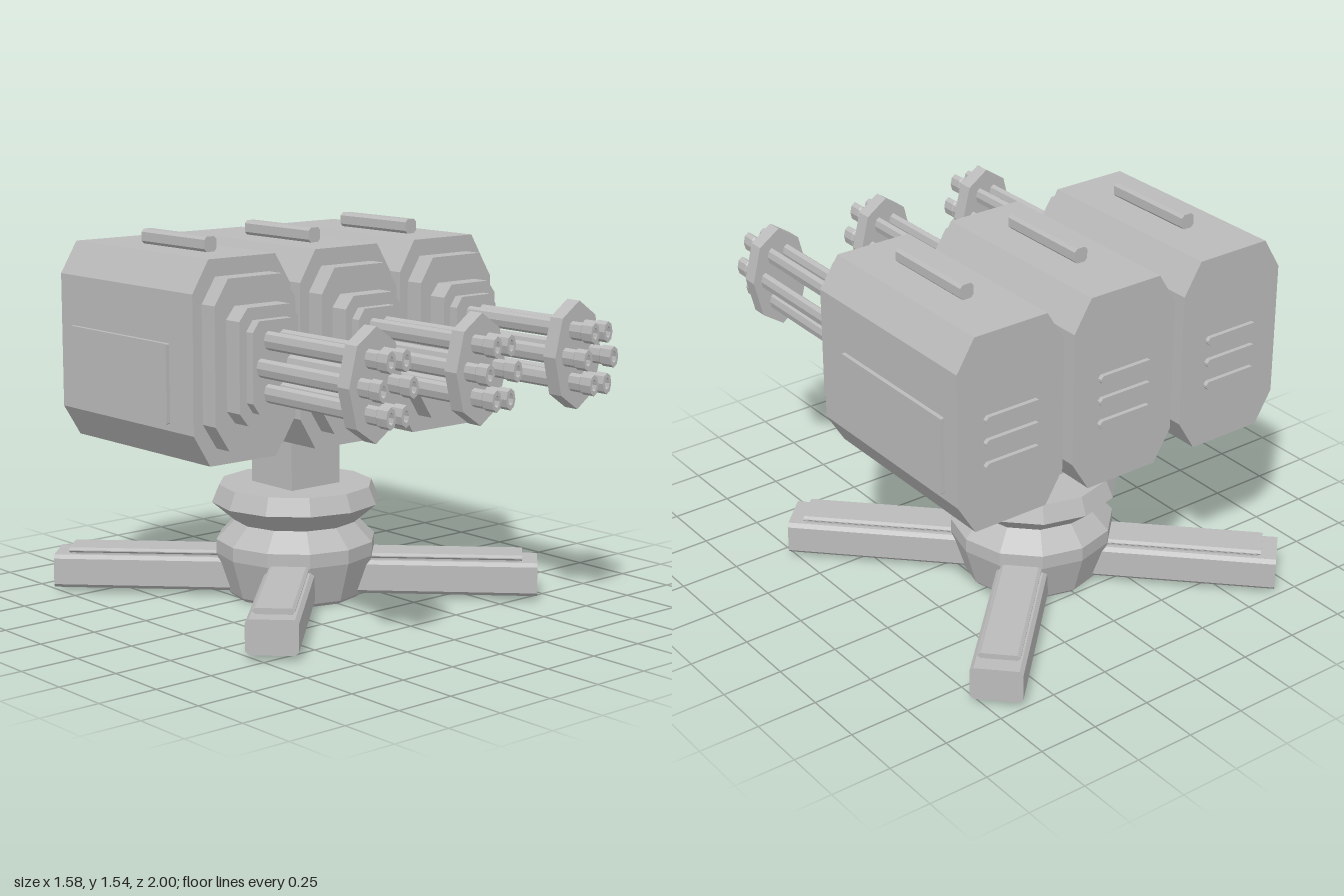
import * as THREE from 'three';

const grey = new THREE.MeshStandardMaterial({ color: 0xbbbbbb, flatShading: true });
grey.name = 'gunmetal grey';

const BASE_Z = -0.21;   // centre of the swivel base
const GUN_Y = 1.08;     // centre line of the guns

function add(parent, name, geometry, x = 0, y = 0, z = 0) {
  const mesh = new THREE.Mesh(geometry, grey);
  mesh.name = name;
  mesh.position.set(x, y, z);
  parent.add(mesh);
  return mesh;
}

// Chamfered rectangle (half sizes hx, hy; corner cuts cx, cy) extruded from z0 to z1
function prism(hx, hy, cx, cy, z0, z1) {
  const points = [
    [hx, -hy + cy], [hx, hy - cy], [hx - cx, hy], [-hx + cx, hy],
    [-hx, hy - cy], [-hx, -hy + cy], [-hx + cx, -hy], [hx - cx, -hy],
  ].map(([x, y]) => new THREE.Vector2(x, y));
  const geometry = new THREE.ExtrudeGeometry(new THREE.Shape(points), { depth: z1 - z0, bevelEnabled: false });
  return geometry.translate(0, 0, z0);
}

// Turned solid from [radius, height] pairs
function lathe(profile, sides) {
  return new THREE.LatheGeometry(profile.map(([r, y]) => new THREE.Vector2(r, y)), sides);
}

function createLeg() {
  const leg = new THREE.Group();
  leg.name = 'leg';
  add(leg, 'legBeam', prism(0.1025, 0.07, 0.015, 0.015, 0.25, 1.008), 0, 0.09);
  // Tread plate with bevelled rims
  add(leg, 'legSeam', prism(0.072, 0.01, 0.002, 0.002, 0.3, 0.935), 0, 0.16);
  add(leg, 'legPlate', prism(0.082, 0.011, 0.012, 0.009, 0.3, 0.945), 0, 0.176);
  return leg;
}

function createGun() {
  const gun = new THREE.Group();
  gun.name = 'gun';
  add(gun, 'housing', prism(0.241, 0.4, 0.078, 0.127, -0.768, 0.11));

  // Stepped front collars
  [
    [0.197, 0.332, 0.065, 0.1, 0.1, 0.19],
    [0.143, 0.226, 0.04, 0.05, 0.18, 0.27],
    [0.11, 0.178, 0.03, 0.042, 0.26, 0.31],
  ].forEach((size) => add(gun, 'frontCollar', prism(...size)));

  // Six oval barrels with hollow muzzles
  const barrel = lathe([
    [0, 0.29], [0.87, 0.29], [0.87, 0.94], [1, 0.945], [1, 1],
    [0.55, 1], [0.55, 0.95], [0, 0.95],
  ], 8);
  barrel.scale(0.024, 1, 0.042).rotateX(Math.PI / 2);
  for (let i = 0; i < 6; i++) {
    const a = i * Math.PI / 3;
    add(gun, 'barrel', barrel, 0.073 * Math.cos(a), 0.117 * Math.sin(a));
  }

  // Clamp holding the barrels together
  const clamp = new THREE.CylinderGeometry(1, 1, 0.065, 8);
  clamp.scale(0.13, 1, 0.215).rotateX(Math.PI / 2);
  add(gun, 'barrelClamp', clamp, 0, 0, 0.847);

  // Rail on the roof and vents on the back
  add(gun, 'topRail', prism(0.03, 0.03, 0.012, 0.012, -0.5, -0.087), 0, 0.43);
  for (const y of [0.055, -0.04, -0.137]) {
    add(gun, 'rearVent', prism(0.125, 0.017, 0.012, 0.012, -0.786, -0.76), 0, y);
  }
  return gun;
}

export function createModel() {
  const model = new THREE.Group();
  model.name = 'tripleGunTurret';

  // Faceted swivel base
  add(model, 'base', lathe([
    [0, 0], [0.27, 0], [0.285, 0.015], [0.335, 0.18], [0.335, 0.238],
    [0.258, 0.317], [0.352, 0.397], [0.322, 0.47], [0, 0.47],
  ], 12), 0, 0, BASE_Z);
  add(model, 'neck', new THREE.BoxGeometry(0.258, 0.25, 0.26), 0, 0.58, BASE_Z);

  // Four diagonal legs
  for (let i = 0; i < 4; i++) {
    const leg = createLeg();
    leg.position.z = BASE_Z;
    leg.rotation.y = Math.PI / 4 + i * Math.PI / 2;
    model.add(leg);
  }

  // Three guns in a row
  for (const x of [-0.53, 0, 0.53]) {
    const gun = createGun();
    gun.position.set(x, GUN_Y, 0);
    model.add(gun);
  }

  // Access panels on the outer sides
  for (const side of [-1, 1]) {
    const panel = prism(0.3235, 0.157, 0.003, 0.003, 0, 0.025).rotateY(side * Math.PI / 2);
    add(model, side > 0 ? 'leftPanel' : 'rightPanel', panel, side * 0.763, 0.992, -0.363);
  }
  return model;
}
